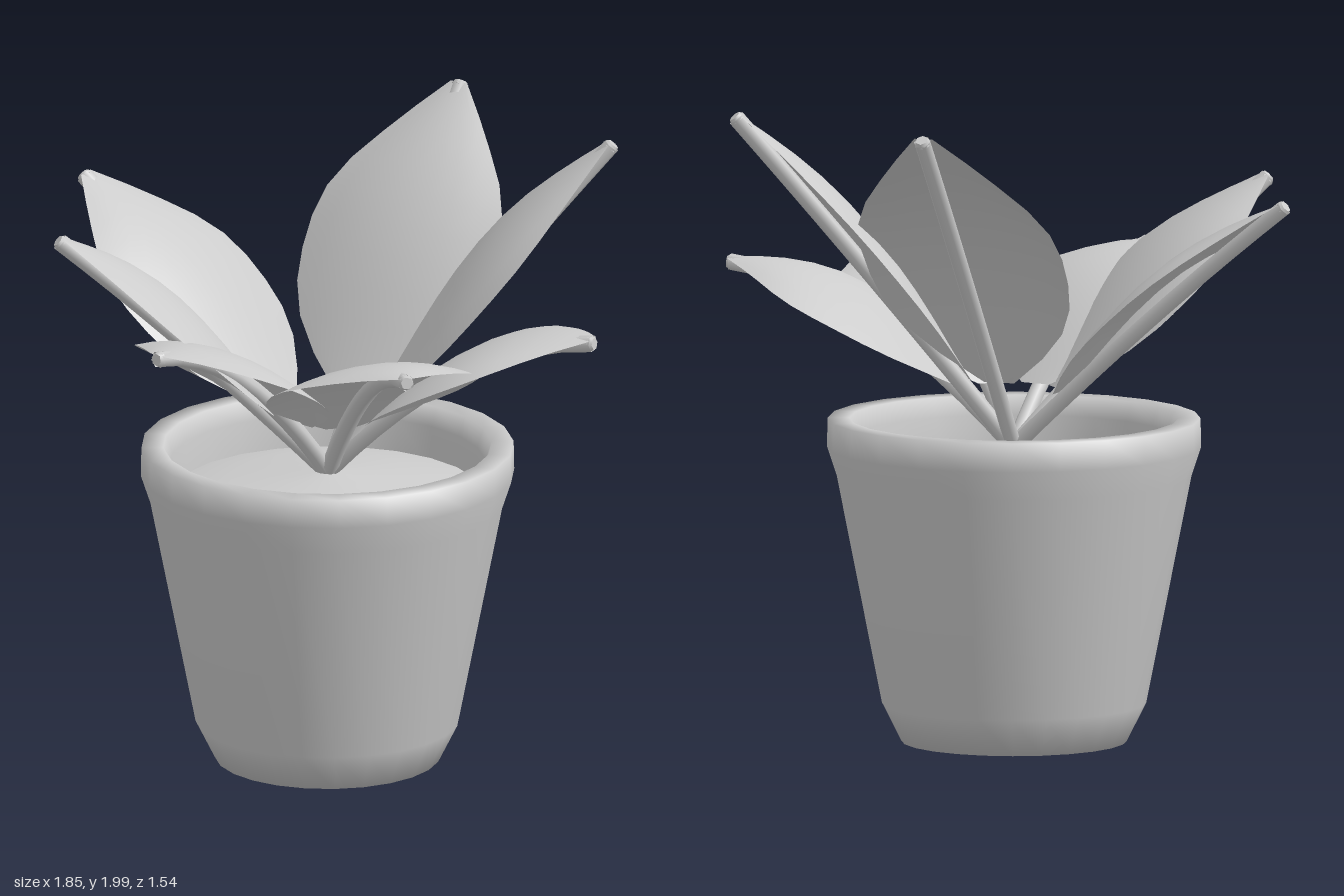
import * as THREE from 'three';

const V = (x, y, z) => new THREE.Vector3(x, y, z);

// Half-widths of a leaf blade from its base to its tip
const WIDTHS = [0.05, 0.17, 0.26, 0.31, 0.33, 0.335, 0.32, 0.27, 0.195, 0.115, 0.03];

// Domed blade: follows the stem, bows above it and droops at both edges
function leafBlade(curve, side, bow, droop) {
  const rows = WIDTHS.length - 1, cols = 8, pos = [], index = [];
  for (let i = 0; i <= rows; i++) {
    const s = i / rows, t = 0.18 + 0.82 * s;
    const up = curve.getTangent(t).cross(side).normalize();
    const arch = Math.sin(Math.PI * Math.pow(s, 1.15));
    const mid = curve.getPoint(t).addScaledVector(up, 0.025 - 0.012 * s + bow * arch);
    for (let j = 0; j <= cols; j++) {
      const u = (j / cols) * 2 - 1;
      const p = mid.clone().addScaledVector(side, u * WIDTHS[i])
        .addScaledVector(up, -droop * u * u * arch);
      pos.push(p.x, p.y, p.z);
    }
  }
  const n = cols + 1;
  for (let i = 0; i < rows; i++) for (let j = 0; j < cols; j++) {
    const a = i * n + j;
    index.push(a, a + n, a + 1, a + 1, a + n, a + n + 1);
  }
  const g = new THREE.BufferGeometry();
  g.setAttribute('position', new THREE.Float32BufferAttribute(pos, 3));
  g.setIndex(index);
  g.computeVertexNormals();
  return g;
}

export function createModel() {
  const root = new THREE.Group();
  root.name = 'pottedPlant';
  const clay = new THREE.MeshStandardMaterial({ color: 0xcccccc, side: THREE.DoubleSide });
  clay.name = 'plain grey';

  const add = (parent, name, geometry) => {
    const m = new THREE.Mesh(geometry, clay);
    m.name = name;
    parent.add(m);
    return m;
  };
  const lathe = points => new THREE.LatheGeometry(points.map(p => new THREE.Vector2(...p)), 24);

  // Pot wall with thick rim and bevelled foot
  const pot = add(root, 'pot', lathe([[0, 0], [0.35, 0], [0.41, 0.12], [0.55, 0.83], [0.58, 0.92],
    [0.578, 1.01], [0.51, 1.01], [0.49, 0.95], [0.48, 0.82]]));

  // Gently mounded soil
  const soil = add(root, 'soil', lathe([[0.485, 0.85], [0.3, 0.895], [0, 0.925]]));
  pot.position.set(-0.004, 0, 0.016);
  soil.position.copy(pot.position);

  // Leaves: tip position and height of the stem's bend above a straight line
  const leaves = [
    [0.075, 1.975, -0.755, 0.02], [0.775, 1.975, -0.395, 0.02],
    [0.91, 1.465, 0.012, 0.22], [0.565, 1.46, 0.615, 0.22], [-0.225, 1.465, 0.755, 0.22],
    [-0.675, 1.72, 0.53, 0.04], [-0.91, 1.72, -0.115, 0.04],
  ];
  const base = V(-0.004, 0.92, 0.012);
  for (const [x, y, z, bend] of leaves) {
    const leaf = new THREE.Group();
    leaf.name = 'leaf';
    root.add(leaf);
    const tip = V(x, y, z);
    const control = base.clone().lerp(tip, 0.52);
    control.y += bend;
    const curve = new THREE.QuadraticBezierCurve3(base, control, tip);
    const side = V(z, 0, -x).normalize();
    const bow = bend > 0.1 ? 0.04 : 0.075;
    add(leaf, 'leafBlade', leafBlade(curve, side, bow, 0.065));
    add(leaf, 'stem', new THREE.TubeGeometry(curve, 10, 0.027, 6));
    // Flat cap closing the stem at the tip
    const cap = add(leaf, 'stemTip', new THREE.CylinderGeometry(0.02, 0.027, 0.015, 6));
    cap.position.copy(tip);
    cap.quaternion.setFromUnitVectors(V(0, 1, 0), curve.getTangent(1));
  }
  return root;
}
